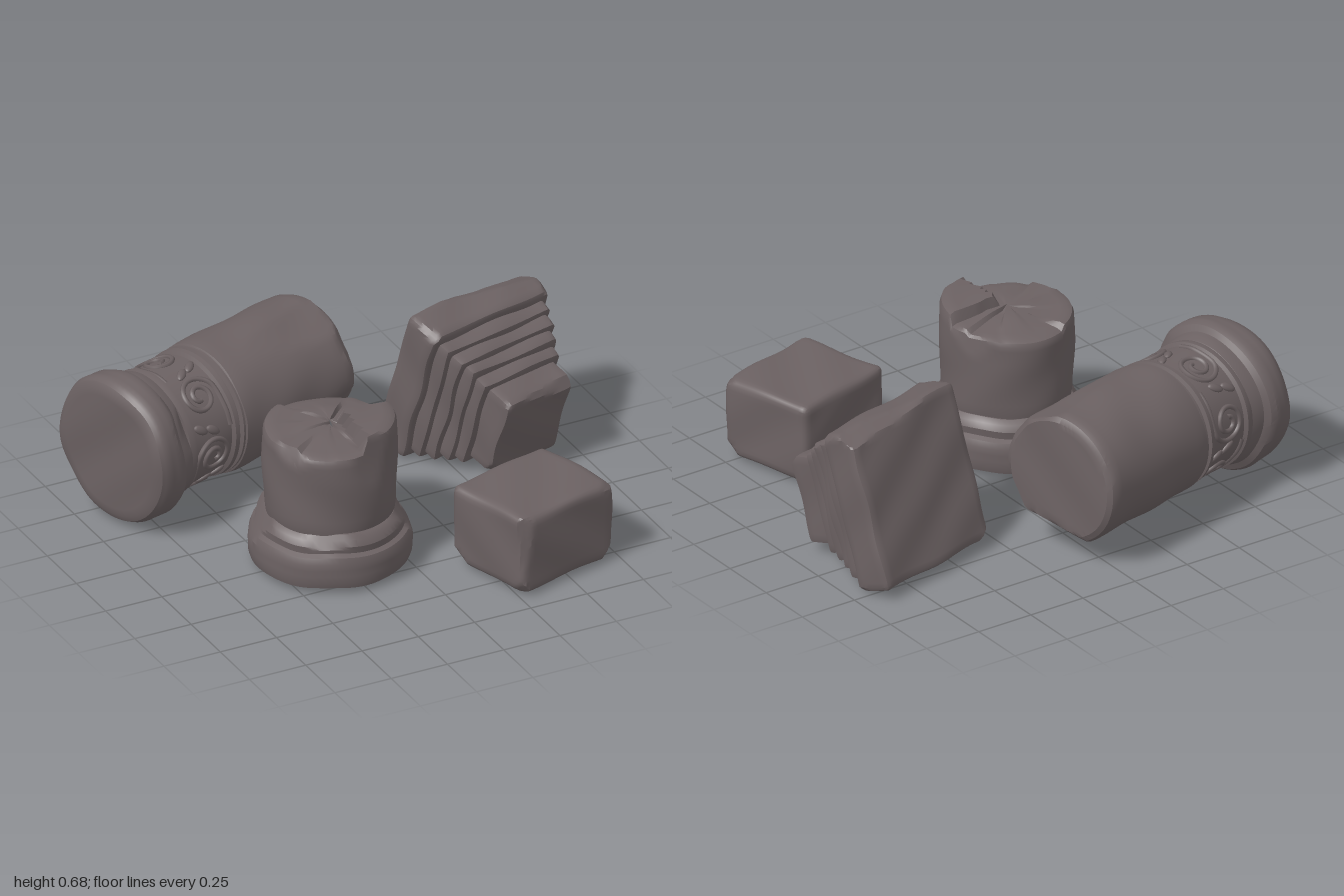
import * as THREE from 'three';
import { toCreasedNormals } from 'three/addons/utils/BufferGeometryUtils.js';

const stone = new THREE.MeshStandardMaterial({ color: 0x6b6162 });
stone.name = 'weathered stone';

const hash = (k) => { const s = Math.sin(k * 12.9898 + 4.1) * 43758.5453; return s - Math.floor(s); };

// Wear a surface: optional shaping rule, flat chips cut by planes [nx, ny, nz, distance], gentle waviness
function weather(geo, { chips = [], shape = null, wave = 0.004, seed = 0 } = {}) {
  const pos = geo.attributes.position;
  const p = new THREE.Vector3();
  const planes = chips.map(([x, y, z, d]) => ({ n: new THREE.Vector3(x, y, z).normalize(), d }));
  for (let i = 0; i < pos.count; i++) {
    p.fromBufferAttribute(pos, i);
    if (shape) shape(p);
    for (const { n, d } of planes) {
      const over = n.dot(p) - d;
      if (over > 0) p.addScaledVector(n, -over);
    }
    const { x, y, z } = p;
    p.x += wave * Math.sin(19 * y + 13 * z + seed);
    p.y += wave * Math.sin(17 * x + 15 * z + seed * 2);
    p.z += wave * Math.sin(14 * x + 21 * y + seed * 3);
    pos.setXYZ(i, p.x, p.y, p.z);
  }
  return toCreasedNormals(geo, 0.55);
}

function addMesh(parent, name, geo) {
  const mesh = new THREE.Mesh(geo, stone);
  mesh.name = name;
  parent.add(mesh);
  return mesh;
}

// Dense box with rounded edges, centred on its origin
function wornBox(w, h, d, r, opts = {}) {
  const n = (s) => Math.max(4, Math.round(s / 0.02));
  const half = new THREE.Vector3(w / 2 - r, h / 2 - r, d / 2 - r);
  const low = half.clone().negate();
  const inner = new THREE.Vector3();
  const round = (p) => {
    inner.copy(p).clamp(low, half);
    p.sub(inner);
    if (p.length() > r) p.setLength(r);
    p.add(inner);
  };
  return weather(new THREE.BoxGeometry(w, h, d, n(w), n(h), n(d)), { ...opts, shape: round });
}

// Turned stone: profile of [radius, height] from the bottom up, split into short steps
function turned(profile, opts = {}) {
  const pts = [];
  profile.forEach(([r, y], i) => {
    if (i > 0) {
      const [r0, y0] = profile[i - 1];
      const n = Math.max(1, Math.ceil(Math.hypot(r - r0, y - y0) / 0.03));
      for (let k = 1; k < n; k++) pts.push(new THREE.Vector2(r0 + (r - r0) * k / n, y0 + (y - y0) * k / n));
    }
    pts.push(new THREE.Vector2(r, y));
  });
  return weather(new THREE.LatheGeometry(pts, 72), opts);
}

// Carved scrolls wrapped around the column band
function addScrolls(parent, radius, middle) {
  const count = 6;
  const onBand = (a, v) => new THREE.Vector3(Math.sin(a) * radius, middle + v, Math.cos(a) * radius);
  for (let k = 0; k < count; k++) {
    const side = k % 2 ? -1 : 1;
    const centre = (k / count) * Math.PI * 2 + 0.2;
    const path = [];
    for (let i = 0; i <= 22; i++) {
      const t = i / 22;
      const r = 0.018 + 0.067 * t;
      const turn = t * Math.PI * 3.4;
      path.push(onBand(centre + r * Math.cos(turn) / radius, side * r * Math.sin(turn)));
    }
    // tail sweeping toward the next scroll
    path.push(onBand(centre + 0.36, -side * 0.088), onBand(centre + 0.62, -side * 0.09));
    const curve = new THREE.CatmullRomCurve3(path);
    addMesh(parent, 'scrollCarving', new THREE.TubeGeometry(curve, 80, 0.011, 6));
    for (const [da, v] of [[0.5, 0.06], [0.58, 0]]) {
      const leaf = addMesh(parent, 'leafCarving', new THREE.SphereGeometry(1, 10, 8));
      leaf.scale.set(0.018, 0.036, 0.012);
      leaf.position.copy(onBand(centre + da, side * v));
      leaf.rotation.set(0, centre + da, side * 0.6, 'YXZ');
    }
  }
}

function fallenColumn() {
  const g = new THREE.Group();
  g.name = 'fallenColumn';
  addMesh(g, 'columnBase', turned([
    [0, 0], [0.27, 0], [0.295, 0.012], [0.31, 0.04], [0.312, 0.11], [0.3, 0.135],
    [0.275, 0.15], [0.27, 0.18], [0.262, 0.205], [0.245, 0.215], [0, 0.215],
  ], { seed: 1, chips: [[-0.85, -0.5, 0.2, 0.265], [0.5, -0.5, -0.7, 0.262], [-0.4, 0.55, 0.7, 0.318], [0.1, -0.5, 0.9, 0.27]] }));
  addMesh(g, 'carvedBand', turned([
    [0, 0.2], [0.262, 0.2], [0.266, 0.22], [0.266, 0.232], [0.25, 0.24],
    [0.25, 0.43], [0.266, 0.438], [0.268, 0.458], [0.25, 0.464], [0.25, 0.474],
    [0.268, 0.48], [0.268, 0.49], [0, 0.49],
  ], { wave: 0.001 }));
  addScrolls(g, 0.251, 0.335);
  addMesh(g, 'columnShaft', turned([
    [0, 0.485], [0.255, 0.485], [0.272, 0.495], [0.275, 0.53], [0.275, 1.05], [0.266, 1.072], [0.245, 1.085], [0, 1.085],
  ], {
    seed: 2, wave: 0.003,
    chips: [[0.8, 0.6, 0.1, 0.81], [-0.5, 0.6, 0.65, 0.835], [-0.3, 0.6, -0.75, 0.85], [0.5, 0.1, 0.86, 0.345], [-0.9, 0.05, 0.4, 0.307]],
  }));
  g.position.set(-0.915, 0.322, -0.365);
  g.rotation.set(0, 0.275, -Math.PI / 2 + 0.018);
  return g;
}

function brokenColumn() {
  const g = new THREE.Group();
  g.name = 'standingColumn';
  addMesh(g, 'columnBase', turned([
    [0, 0.012], [0.29, 0.012], [0.318, 0.025], [0.325, 0.05], [0.325, 0.13], [0.315, 0.155],
    [0.295, 0.165], [0.298, 0.195], [0.285, 0.22], [0.262, 0.235], [0, 0.235],
  ], { seed: 3, chips: [[0.8, 0.55, 0.3, 0.335], [-0.4, 0.6, 0.75, 0.345], [0.4, -0.6, 0.7, 0.27], [-0.8, 0.6, -0.3, 0.33]] }));
  // Fractured top: one quarter stands proud, wedges are broken out along the rim
  const fracture = (p) => {
    if (p.y < 0.45) return;
    const a = Math.atan2(p.z, p.x) + Math.PI;
    const r = Math.hypot(p.x, p.z);
    const proud = p.x > 0.04 && p.z > 0.01;
    const k = Math.floor(a / (Math.PI * 2) * 11);
    const rim = Math.max(0, r - 0.1) / 0.165;
    const top = proud ? 0.655 - 0.015 * rim : 0.615 - rim * 0.055 * hash(k) - 0.03 * hash(k + 30) * (1 - rim);
    p.y = 0.45 + (p.y - 0.45) * (top - 0.45) / 0.15;
  };
  addMesh(g, 'columnShaft', turned([
    [0, 0.22], [0.256, 0.22], [0.262, 0.26], [0.267, 0.45], [0.267, 0.575], [0.26, 0.592], [0.24, 0.6], [0, 0.6],
  ], { seed: 4, wave: 0.003, shape: fracture, chips: [[-0.8, 0.4, 0.45, 0.455], [0.9, 0.2, -0.4, 0.36], [0.2, 0.1, 0.97, 0.307]] }));
  g.position.set(-0.26, 0, 0.26);
  return g;
}

function looseBlock() {
  const g = new THREE.Group();
  g.name = 'looseBlock';
  addMesh(g, 'block', wornBox(0.49, 0.335, 0.42, 0.03, {
    seed: 5,
    chips: [[0.7, -0.6, 0.55, 0.315], [-0.7, -0.55, 0.5, 0.325], [-0.6, 0.5, 0.65, 0.335], [0.3, 0.75, 0.6, 0.295],
      [-0.6, 0.1, 0.8, 0.295], [0.6, 0.6, -0.5, 0.335], [0.1, -0.7, -0.7, 0.245], [-0.7, -0.6, -0.4, 0.31]],
  }));
  g.position.set(0.435, 0.178, 0.66);
  g.rotation.y = 0.268;
  return g;
}

function steppedCapital() {
  const g = new THREE.Group();
  g.name = 'steppedCapital';
  const slab = addMesh(g, 'capitalSlab', wornBox(0.62, 0.66, 0.165, 0.022, {
    seed: 6,
    chips: [[-0.7, 0.7, 0.2, 0.432], [0.7, 0.7, 0.3, 0.43], [0.1, 0.8, -0.6, 0.29], [0.7, -0.7, 0.3, 0.435], [-0.6, -0.7, -0.4, 0.41]],
  }));
  slab.position.set(0, 0.325, 0.08);
  // Mouldings shrinking toward the narrow end: [width, height, start, end]
  const steps = [
    [0.55, 0.58, 0.14, 0.222], [0.5, 0.53, 0.2, 0.278], [0.45, 0.48, 0.26, 0.33],
    [0.405, 0.425, 0.31, 0.385], [0.345, 0.37, 0.36, 0.505],
  ];
  steps.forEach(([w, h, z0, z1], i) => {
    const chips = i === 4
      ? [[-0.6, 0.6, 0.5, 0.235], [0.5, 0.7, 0.5, 0.235], [-0.5, -0.5, 0.7, 0.2], [0.1, 0.7, 0.7, 0.165]]
      : [[0.7, 0.7, 0.2, (w + h) * 0.34], [-0.7, 0.7, 0.3, (w + h) * 0.343]];
    const step = addMesh(g, 'capitalStep', wornBox(w, h, z1 - z0, 0.014, { seed: 7 + i, chips }));
    step.position.set(0, 0.325, (z0 + z1) / 2);
  });
  g.position.set(0.605, 0.05, -0.52);
  g.rotation.set(0.31, 0.25, 0, 'YXZ');
  return g;
}

export function createModel() {
  const model = new THREE.Group();
  model.name = 'columnRuins';
  model.add(fallenColumn(), brokenColumn(), looseBlock(), steppedCapital());
  return model;
}
